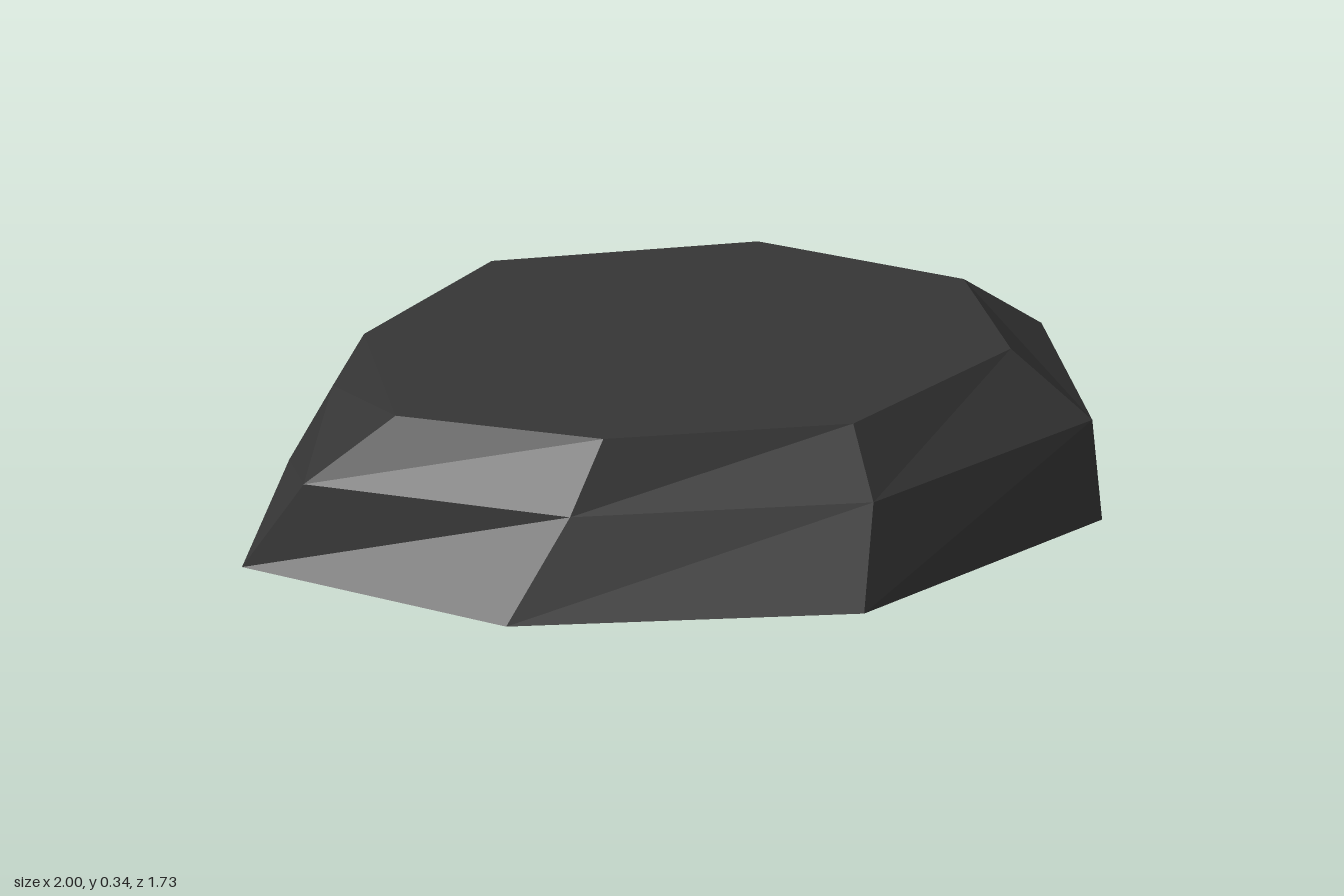
import * as THREE from 'three';

// Eight corners per ring as [x, y, z], running right, front, left, back
const base = [
  [0.98, 0, -0.02], [0.8, 0, 0.575], [0.07, 0, 0.86], [-0.66, 0, 0.575],
  [-1, 0, -0.02], [-0.6, 0, -0.57], [0.07, 0, -0.865], [0.83, 0, -0.65],
];
const shoulder = [
  [1, 0.2, -0.1], [0.82, 0.2, 0.49], [0.16, 0.2, 0.73], [-0.47, 0.2, 0.51],
  [-0.89, 0.2, 0.06], [-0.55, 0.2, -0.46], [-0.02, 0.2, -0.74], [0.66, 0.2, -0.62],
];
const rim = [
  [0.815, 0.33, -0.11], [0.69, 0.343, 0.355], [0.18, 0.335, 0.595], [-0.36, 0.345, 0.455],
  [-0.67, 0.325, 0.07], [-0.515, 0.34, -0.38], [-0.05, 0.333, -0.675], [0.525, 0.33, -0.525],
];

function facetMesh(name, points, material) {
  const geometry = new THREE.BufferGeometry();
  geometry.setAttribute('position', new THREE.Float32BufferAttribute(points.flat(), 3));
  geometry.computeVertexNormals();
  const mesh = new THREE.Mesh(geometry, material);
  mesh.name = name;
  return mesh;
}

// Band of quads joining two rings
function band(low, high) {
  return low.flatMap((a, i) => {
    const j = (i + 1) % low.length;
    return [low[j], a, high[i], low[j], high[i], high[j]];
  });
}

// Fan closing a ring, facing up or down
function cap(ring, centre, up) {
  return ring.flatMap((a, i) => {
    const b = ring[(i + 1) % ring.length];
    return up ? [centre, b, a] : [centre, a, b];
  });
}

export function createModel() {
  const stone = new THREE.MeshStandardMaterial({ color: 0x363636 });
  stone.name = 'dark stone';

  const rock = new THREE.Group();
  rock.name = 'flatRock';
  rock.add(
    facetMesh('lowerSides', band(base, shoulder), stone),
    facetMesh('upperBevel', band(shoulder, rim), stone),
    facetMesh('topFace', cap(rim, [0.07, 0.335, -0.03], true), stone),
    facetMesh('underside', cap(base, [0, 0, 0], false), stone),
  );
  return rock;
}
